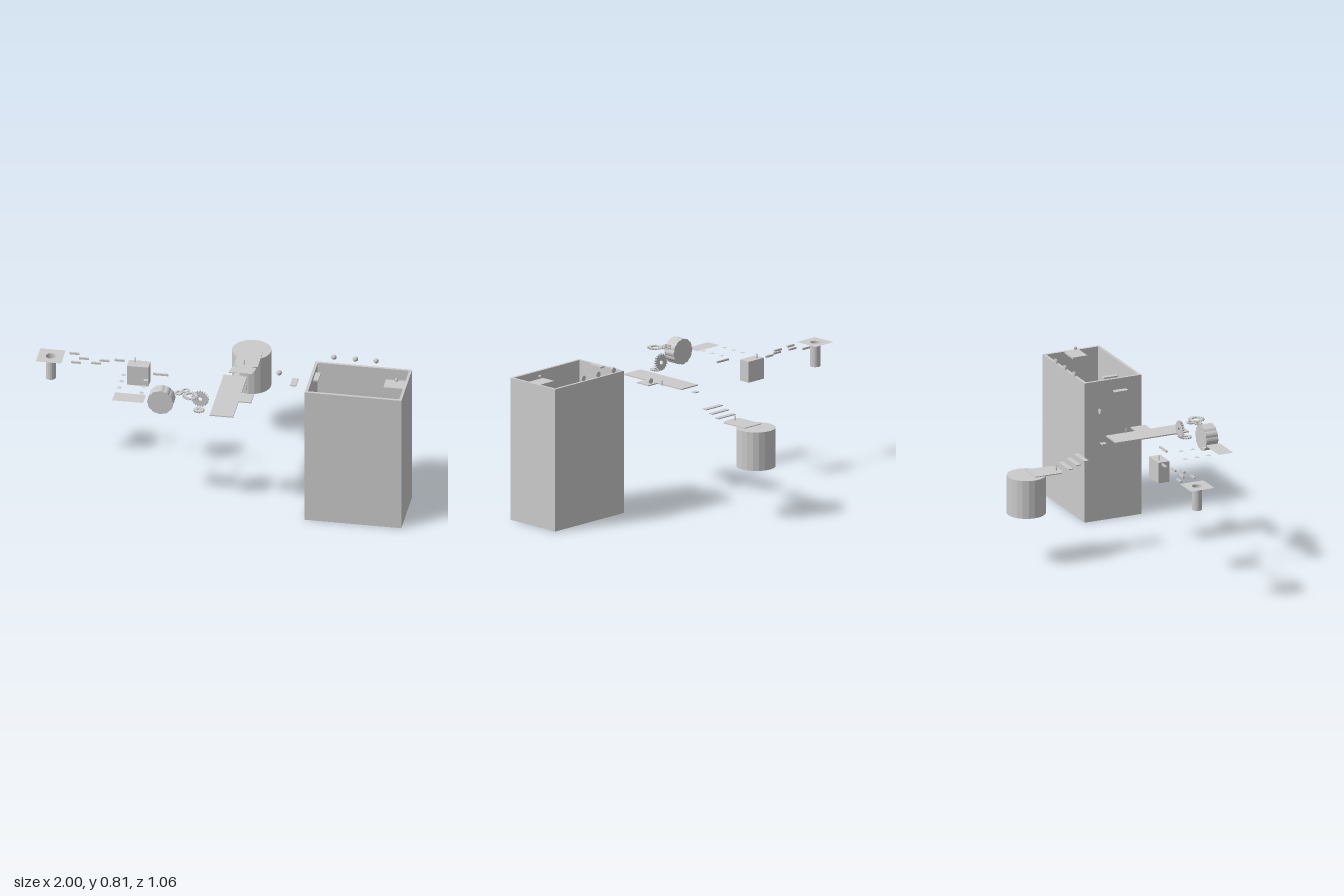
import * as THREE from 'three';

const mat = new THREE.MeshStandardMaterial({ color: 0xcccccc, flatShading: true, side: THREE.DoubleSide });
const smooth = new THREE.MeshStandardMaterial({ color: 0xcccccc });

export function createModel() {
  const root = new THREE.Group();

  const add = (name, geo, x, y, z, m = mat) => {
    const mesh = new THREE.Mesh(geo, m);
    mesh.name = name;
    mesh.position.set(x, y, z);
    root.add(mesh);
    return mesh;
  };
  // box given by its min and max on each axis
  const box = (name, x0, x1, y0, y1, z0, z1) =>
    add(name, new THREE.BoxGeometry(x1 - x0, y1 - y0, z1 - z0), (x0 + x1) / 2, (y0 + y1) / 2, (z0 + z1) / 2);
  // plan shape drawn in (x, z), laid flat with its underside at y
  const flat = (name, shape, depth, y) => {
    const geo = depth > 0
      ? new THREE.ExtrudeGeometry(shape, { depth, bevelEnabled: false, curveSegments: 16 })
      : new THREE.ShapeGeometry(shape, 16);
    geo.rotateX(Math.PI / 2);
    return add(name, geo, 0, y + depth, 0);
  };
  const polygon = pts => new THREE.Shape(pts.map(p => new THREE.Vector2(p[0], p[1])));
  const rect = (x0, x1, z0, z1) => polygon([[x0, z0], [x1, z0], [x1, z1], [x0, z1]]);
  const hole = (shape, x, z, r) => {
    shape.holes.push(new THREE.Path().absarc(x, z, r, 0, Math.PI * 2, true));
    return shape;
  };
  const pin = (name, x, y, z) => add(name, new THREE.CylinderGeometry(0.002, 0.004, 0.028, 8), x, y + 0.014, z, smooth);

  // toothed ring, four outline points per tooth
  const gear = (r, teeth, bore, depth) => {
    const pts = [];
    for (let i = 0; i < teeth * 4; i++) {
      const a = (i / (teeth * 4)) * Math.PI * 2;
      const rr = i % 4 < 2 ? r : r * 0.82;
      pts.push([Math.cos(a) * rr, Math.sin(a) * rr]);
    }
    return new THREE.ExtrudeGeometry(hole(polygon(pts), 0, 0, bore), { depth, bevelEnabled: false, curveSegments: 12 });
  };

  // tall open-topped block
  box('towerFloor', 0.482, 0.998, 0, 0.015, 0.122, 0.452);
  const wall = hole(rect(0.482, 0.998, 0.122, 0.452), 0, 0, 0);
  wall.holes = [rect(0.497, 0.984, 0.137, 0.437)];
  flat('towerWalls', wall, 0.76, 0.015);
  box('towerLedge', 0.88, 0.985, 0.765, 0.775, 0.243, 0.327);
  add('ledgeBall', new THREE.SphereGeometry(0.009, 12, 8), 0.943, 0.803, 0.287, smooth);

  // floating steps leading to the tower
  box('towerStep', 0.505, 0.533, 0.773, 0.781, 0.245, 0.328);
  box('middleStep', 0.383, 0.415, 0.733, 0.739, 0.255, 0.33);

  // domes facing forward, with flat backs
  for (const [x, y, z] of [[0.577, 0.8, 0.103], [0.692, 0.8, 0.103], [0.802, 0.8, 0.103], [0.287, 0.682, 0.115]]) {
    const dome = add('dome', new THREE.SphereGeometry(0.015, 16, 8, 0, Math.PI * 2, 0, Math.PI / 2), x, y, z, smooth);
    dome.rotation.x = Math.PI / 2;
    add('domeBack', new THREE.CircleGeometry(0.015, 16), x, y, z);
  }

  // walkway with a side tab
  flat('walkway', polygon([[-0.017, 0.068], [0.108, 0.068], [0.108, 0.243], [0.175, 0.243],
    [0.175, 0.329], [0.108, 0.329], [0.108, 0.493], [-0.017, 0.493]]), 0.006, 0.606);
  pin('walkwayPin', 0.125, 0.61, 0.195);

  // round drum with a landing plate
  add('drum', new THREE.CylinderGeometry(0.104, 0.104, 0.21, 20), 0.047, 0.382, -0.423);
  flat('landing', polygon([[-0.016, -0.4], [0.11, -0.4], [0.11, -0.246], [0.085, -0.232],
    [0.047, -0.227], [0.009, -0.232], [-0.016, -0.246]]), 0.005, 0.486);
  pin('landingPin', 0.035, 0.491, -0.255);

  // stair treads up to the walkway
  for (let i = 0; i < 3; i++) {
    const y = 0.5 + i * 0.0157, z = -0.194 + i * 0.0455;
    box('stairTread', -0.017, 0.108, y, y + 0.005, z - 0.0135, z + 0.0135);
  }
  box('smallTread', 0.033, 0.061, 0.59, 0.595, 0.012, 0.039);

  // gears: one upright, four lying flat
  add('uprightGear', gear(0.047, 20, 0.012, 0.012), -0.083, 0.655, 0.403);
  for (const [x, y, z, r, teeth, bore] of [[-0.083, 0.604, 0.445, 0.03, 14, 0.01], [-0.12, 0.709, 0.485, 0.043, 16, 0.022],
    [-0.155, 0.709, 0.436, 0.022, 10, 0.012], [-0.187, 0.709, 0.466, 0.022, 10, 0.012]]) {
    const g = add('flatGear', gear(r, teeth, bore, 0.007), x, y + 0.007, z);
    g.rotation.x = Math.PI / 2;
  }

  // fluted wheel
  const rim = [];
  for (let i = 0; i < 48; i++) {
    const a = (i / 48) * Math.PI * 2;
    const r = 0.07 - 0.004 * (i % 4 === 2 ? 1 : i % 4 === 0 ? 0 : 0.3);
    rim.push([Math.cos(a) * r, Math.sin(a) * r]);
  }
  add('flutedWheel', new THREE.ExtrudeGeometry(polygon(rim), { depth: 0.068, bevelEnabled: false }), -0.279, 0.667, 0.438);

  // flat platform and stepping squares
  flat('platform', rect(-0.535, -0.37, 0.42, 0.505), 0, 0.655);
  for (let i = 0; i < 3; i++) {
    for (const [x, z] of [[-0.52, 0.234], [-0.397, 0.267]]) {
      const c = z + i * 0.067;
      flat('steppingSquare', rect(x - 0.011, x + 0.011, c - 0.011, c + 0.011), 0, 0.655);
    }
  }

  // block with a pin
  box('block', -0.52, -0.405, 0.543, 0.657, 0.077, 0.142);
  pin('blockPin', -0.485, 0.657, 0.096);

  // narrow beams
  for (const [x, z, w] of [[-0.57, 0.088, 0.052], [-0.645, 0.105, 0.052], [-0.685, 0.138, 0.052],
    [-0.755, 0.101, 0.052], [-0.79, 0.148, 0.052], [-0.814, 0.058, 0.052], [-0.33, 0.196, 0.083]]) {
    box('beam', x - w / 2, x + w / 2, 0.65, 0.66, z - 0.005, z + 0.005);
  }

  // starting plate above an open pipe
  flat('startPlate', hole(rect(-1, -0.865, 0.037, 0.175), -0.932, 0.106, 0.027), 0, 0.655);
  add('pipe', new THREE.CylinderGeometry(0.027, 0.027, 0.13, 16, 1, true), -0.932, 0.59, 0.106);

  return root;
}
